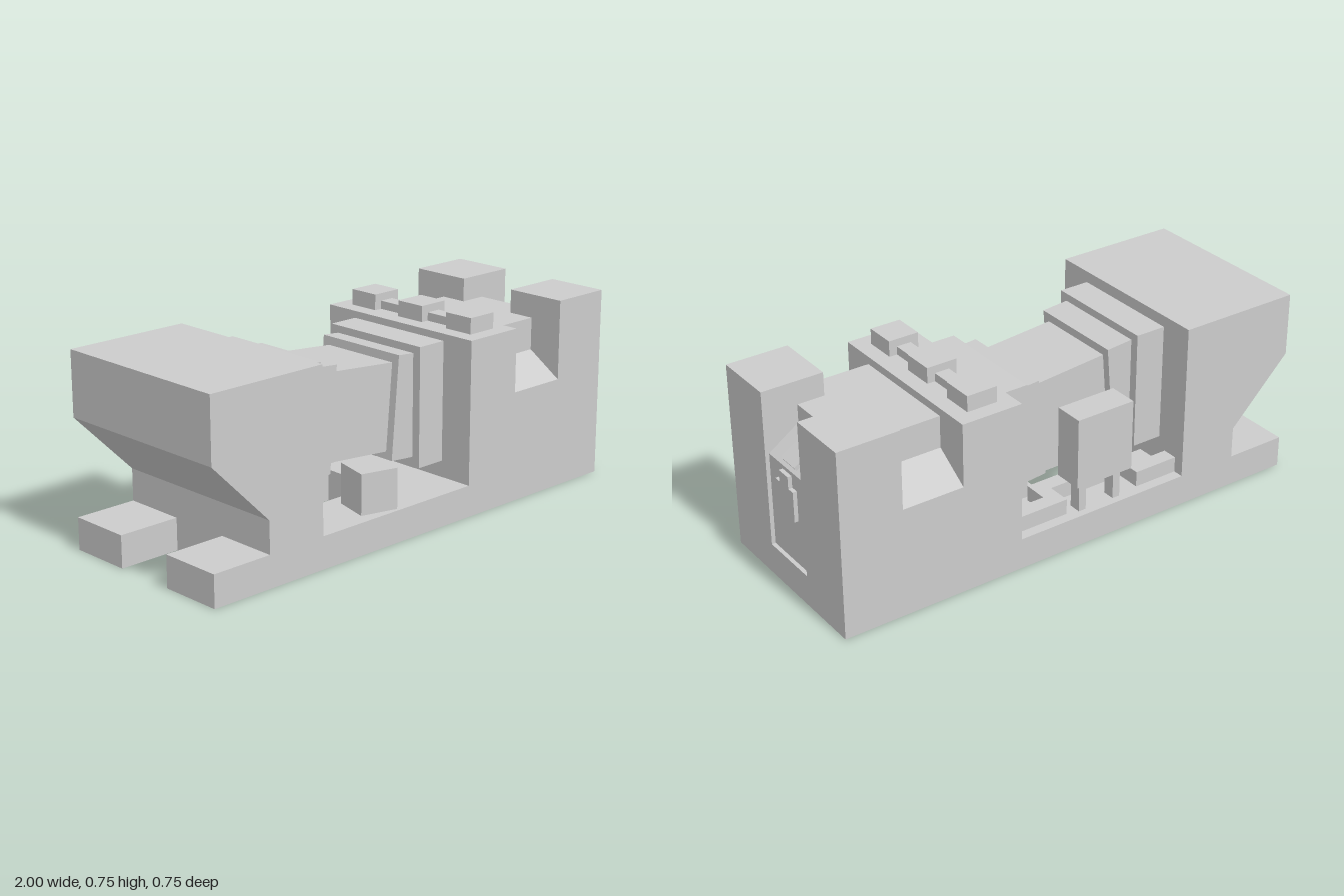
import * as THREE from 'three';

const grey = new THREE.MeshStandardMaterial({ color: 0xcccccc, flatShading: true });

export function createModel() {
  const model = new THREE.Group();

  function add(name, geometry) {
    const mesh = new THREE.Mesh(geometry, grey);
    mesh.name = name;
    model.add(mesh);
    return mesh;
  }

  // Box given by its limits on each axis
  function block(name, [x0, x1], [y0, y1], [z0, z1]) {
    const mesh = add(name, new THREE.BoxGeometry(x1 - x0, y1 - y0, z1 - z0));
    mesh.position.set((x0 + x1) / 2, (y0 + y1) / 2, (z0 + z1) / 2);
    return mesh;
  }

  const polygon = (pts) => new THREE.Shape(pts.map(([a, b]) => new THREE.Vector2(a, b)));
  const extrude = (shape, depth) => new THREE.ExtrudeGeometry(shape, { depth, bevelEnabled: false });

  // Base plate with a notch between two feet and a rectangular hole
  const plan = polygon([[-1, -0.375], [1, -0.375], [1, 0.375], [-1, 0.375],
    [-1, 0.125], [-0.75, 0.125], [-0.75, -0.125], [-1, -0.125]]);
  plan.holes.push(new THREE.Path([[-0.5, -0.125], [-0.5, 0.125], [0, 0.125], [0, -0.125]]
    .map(([a, b]) => new THREE.Vector2(a, b))));
  add('basePlate', extrude(plan, 0.125).rotateX(-Math.PI / 2));

  // Overhanging end block
  const overhang = polygon([[-0.75, 0.125], [-0.5, 0.125], [-0.5, 0.75],
    [-1, 0.75], [-1, 0.5], [-0.75, 0.25]]);
  add('overhangBlock', extrude(overhang, 0.75).translate(0, 0, -0.375));

  // Stepped block at the other end: shoulder, waist with sloped ledges, slotted tower
  block('shoulderBlock', [0.25, 0.5], [0.125, 0.6875], [-0.375, 0.375]);
  const waist = polygon([[-0.375, 0.125], [0.375, 0.125], [0.375, 0.4375], [0.234, 0.53],
    [0.234, 0.657], [-0.234, 0.657], [-0.234, 0.53], [-0.375, 0.4375]]);
  add('waistBlock', extrude(waist, 0.25).rotateY(Math.PI / 2).translate(0.5, 0, 0));
  for (const s of [-1, 1]) {
    block('towerSide', [0.75, 1], [0.125, 0.75], s > 0 ? [0.125, 0.375] : [-0.375, -0.125]);
  }
  const core = polygon([[0.75, 0.125], [0.984, 0.125], [0.984, 0.5], [0.86, 0.585],
    [0.86, 0.657], [0.75, 0.657]]);
  add('slotPanel', extrude(core, 0.25).translate(0, 0, -0.125));

  // Raised plate and tilted tab on the slotted end
  const plate = polygon([[-0.061, 0.315], [0.061, 0.315], [0.061, 0.4375], [0.031, 0.4375],
    [0.031, 0.485], [-0.031, 0.485], [-0.031, 0.4375], [-0.061, 0.4375]]);
  add('endPlate', extrude(plate, 0.016).rotateY(Math.PI / 2).translate(0.984, 0, 0));
  const tab = add('slopeTab', new THREE.BoxGeometry(0.095, 0.03, 0.094));
  tab.position.set(0.933, 0.537, 0);
  tab.rotation.z = -0.6;

  // Row of studs with links between them
  for (const z of [-0.25, 0, 0.25]) {
    block('topStud', [0.3125, 0.4375], [0.6875, 0.75], [z - 0.0625, z + 0.0625]);
  }
  for (const z of [-0.125, 0.125]) {
    block('studLink', [0.345, 0.405], [0.6875, 0.72], [z - 0.0625, z + 0.0625]);
  }

  // Barrel: upright flanges at both ends, tilted collars and drum between
  block('leftFlange', [-0.5, -0.375], [0.235, 0.705], [-0.235, 0.235]);
  block('rightFlange', [0.125, 0.25], [0.19, 0.66], [-0.235, 0.235]);
  for (const [name, x, y, w, h, d] of [
    ['leftCollar', -0.342, 0.468, 0.12, 0.406, 0.4],
    ['drum', -0.125, 0.448, 0.32, 0.34, 0.336],
    ['rightCollar', 0.095, 0.431, 0.125, 0.403, 0.4],
  ]) {
    const mesh = add(name, new THREE.BoxGeometry(w, h, d));
    mesh.position.set(x, y, 0);
    mesh.rotation.z = -0.085;
  }

  // Crate on the front of the floor
  const crate = add('crate', new THREE.BoxGeometry(0.15, 0.158, 0.15));
  crate.position.set(-0.172, 0.204, 0.27);
  crate.rotation.y = -0.26;

  // Rear cabinet on two legs
  block('rearCabinet', [-0.25, 0], [0.25, 0.535], [-0.375, -0.255]);
  for (const x of [-0.205, -0.047]) {
    block('cabinetLeg', [x - 0.016, x + 0.016], [0.125, 0.25], [-0.345, -0.295]);
  }

  // Square duct on the floor, stepping around the cabinet
  const duct = polygon([[-0.5, 0.27], [-0.375, 0.27], [-0.375, 0.172], [0.078, 0.172],
    [0.078, 0.27], [0.25, 0.27], [0.25, 0.332], [0.0156, 0.332], [0.0156, 0.235],
    [-0.3125, 0.235], [-0.3125, 0.332], [-0.5, 0.332]]);
  add('floorDuct', extrude(duct, 0.0625).rotateX(-Math.PI / 2).translate(0, 0.125, 0));

  return model;
}
